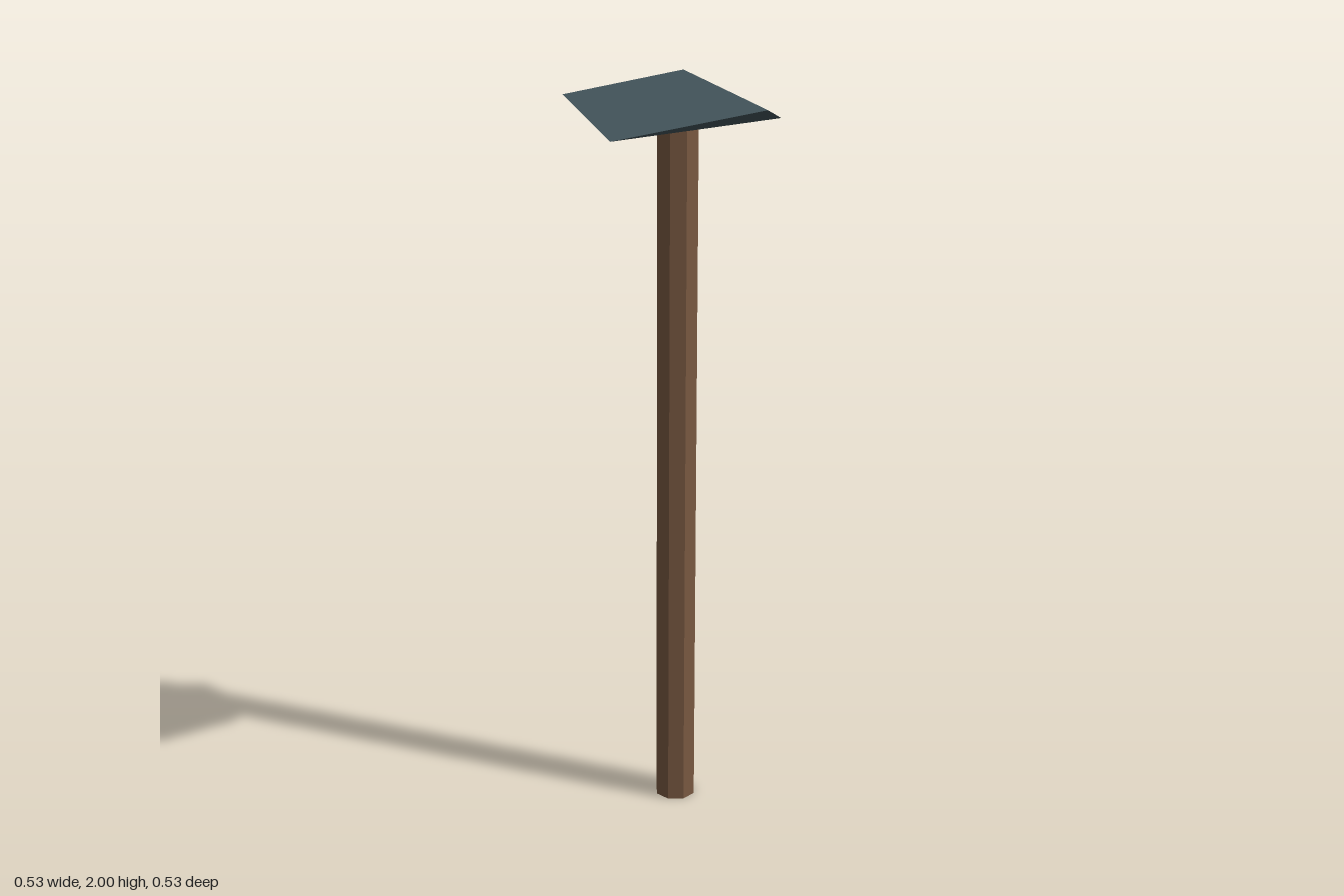
import * as THREE from 'three';

// Faceted solid from corner loops; each loop (3 or 4 corners) shares one face normal.
function facets(faces) {
  const pos = [], nor = [];
  for (const face of faces) {
    const p = face.map((c) => new THREE.Vector3(...c));
    const last = p[p.length - 1];
    const n = p[2].clone().sub(p[0])
      .cross((p.length === 4 ? last : p[2]).clone().sub(p[1]));
    if (p.length === 3) n.copy(p[1]).sub(p[0]).cross(p[2].clone().sub(p[0]));
    n.normalize();
    for (let i = 1; i < p.length - 1; i++) {
      for (const v of [p[0], p[i], p[i + 1]]) {
        pos.push(v.x, v.y, v.z);
        nor.push(n.x, n.y, n.z);
      }
    }
  }
  const g = new THREE.BufferGeometry();
  g.setAttribute('position', new THREE.Float32BufferAttribute(pos, 3));
  g.setAttribute('normal', new THREE.Float32BufferAttribute(nor, 3));
  return g;
}

const mirror = (face) => face.map(([x, y, z]) => [-x, y, z]).reverse();

export function createModel() {
  const model = new THREE.Group();

  // Eight-sided wooden shaft with an edge facing forward
  const shaft = new THREE.Mesh(
    new THREE.CylinderGeometry(0.055, 0.055, 1.88, 8),
    new THREE.MeshStandardMaterial({ color: 0x7a5a42, flatShading: true })
  );
  shaft.name = 'shaft';
  shaft.position.set(0, 0.94, -0.185);
  model.add(shaft);

  // Wedge-shaped blade: corners on the centre line and on the +x side
  const tip = [0, 1.92, 0.265];
  const ridge = [0, 2, -0.223];
  const heel = [0, 1.86, -0.267];
  const upper = [0.267, 1.945, -0.085];
  const lower = [0.267, 1.905, -0.191];
  const upperRight = [-upper[0], upper[1], upper[2]];

  const half = [
    [ridge, upper, lower, heel], // back
    [upper, tip, lower],         // side
    [tip, heel, lower],          // underside
  ];
  // The mirrored back keeps its fold running from ridge to lower corner
  const otherHalf = half.map(mirror);
  otherHalf[0].unshift(otherHalf[0].pop());

  const blade = new THREE.Mesh(
    facets([[upperRight, tip, upper, ridge], ...half, ...otherHalf]),
    new THREE.MeshStandardMaterial({ color: 0x42545a })
  );
  blade.name = 'blade';
  model.add(blade);

  return model;
}
